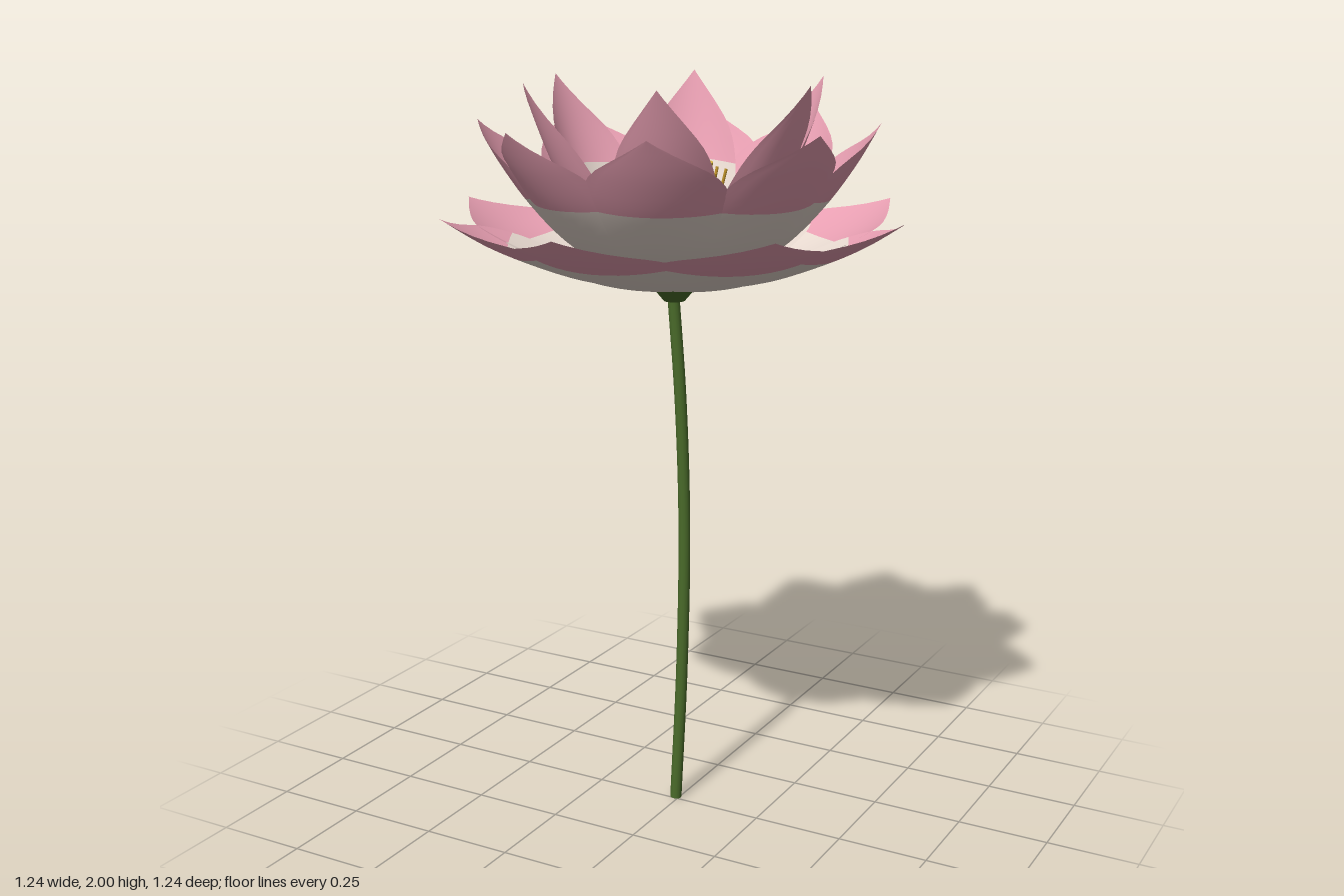
import * as THREE from 'three';

const mat = (name, color, side = THREE.FrontSide) => {
  const m = new THREE.MeshStandardMaterial({ color, side });
  m.name = name;
  return m;
};
const curve = pts => new THREE.SplineCurve(pts.map(p => new THREE.Vector2(...p)));

// Half width along every petal, from narrow base to pointed tip
const outline = curve([[0, 0.3], [0.2, 0.62], [0.4, 0.89], [0.6, 1], [0.8, 0.78], [1, 0]]);

// Cupped petal pointing along +x; material 0 is the pale base, 1 the pink tip
function petalGeometry({ profile, width, cup, split }) {
  const spine = curve(profile), rows = 24, cols = 12, splitRow = 15;
  const pos = [], index = [];
  for (let i = 0; i <= rows; i++) {
    for (let j = 0; j <= cols; j++) {
      const u = (j / cols) * 2 - 1;
      const edge = split - 0.05 * u * u; // the colour border bows towards the tip
      const t = i <= splitRow
        ? (i / splitRow) * edge
        : edge + ((i - splitRow) / (rows - splitRow)) * (1 - edge);
      const p = spine.getPoint(t), d = spine.getTangent(t);
      const w = Math.max(0, outline.getPoint(t).y);
      const lift = cup * u * u * w * w;
      pos.push(p.x - d.y * lift, p.y + d.x * lift, u * w * width);
    }
  }
  const n = cols + 1;
  for (let i = 0; i < rows; i++) {
    for (let j = 0; j < cols; j++) {
      const a = i * n + j, b = a + 1, c = a + n, e = c + 1;
      index.push(a, b, c, b, e, c);
    }
  }
  const g = new THREE.BufferGeometry();
  g.setAttribute('position', new THREE.Float32BufferAttribute(pos, 3));
  g.setIndex(index);
  g.computeVertexNormals();
  g.addGroup(0, splitRow * cols * 6, 0);
  g.addGroup(splitRow * cols * 6, (rows - splitRow) * cols * 6, 1);
  return g;
}

// Petal rings; angles in degrees from +x towards +z
const rings = [
  {
    name: 'outerPetal', width: 0.225, cup: 0.045, split: 0.68,
    profile: [[0.02, 1.47], [0.14, 1.478], [0.27, 1.503], [0.39, 1.545], [0.51, 1.6], [0.62, 1.67]],
    angles: [-3, 40, 89, 135, 175, 226, 266, 310],
  },
  {
    name: 'middlePetal', width: 0.185, cup: 0.06, split: 0.64,
    profile: [[0.03, 1.485], [0.16, 1.51], [0.28, 1.58], [0.38, 1.68], [0.46, 1.79], [0.52, 1.895]],
    angles: [-71, -24, 21, 69, 113, 158, 206, 250],
  },
  {
    name: 'innerPetal', width: 0.13, cup: 0.05, split: 0.68,
    profile: [[0.03, 1.5], [0.13, 1.54], [0.22, 1.62], [0.29, 1.72], [0.35, 1.85], [0.405, 2]],
    angles: [-48, 8.5, 68, 131, 188, 248],
  },
];

export function createModel() {
  const green = mat('stem green', 0x4a6b2a);
  const pale = mat('petal cream', 0xf3e4da, THREE.DoubleSide);
  const pink = mat('petal pink', 0xe89fb2, THREE.DoubleSide);
  const yellow = mat('seed pod yellow', 0xdcb845);
  const gold = mat('stamen gold', 0xc2952a);

  const model = new THREE.Group();
  model.name = 'waterFlower';
  const add = (parent, name, geometry, material) => {
    const m = new THREE.Mesh(geometry, material);
    m.name = name;
    parent.add(m);
    return m;
  };

  // Gently bowed stem with a closed foot
  const path = new THREE.CatmullRomCurve3([
    [-0.01, 0, -0.01], [0.005, 0.4, -0.018], [0.011, 0.8, -0.02], [0.004, 1.15, -0.012], [-0.015, 1.46, -0.004],
  ].map(p => new THREE.Vector3(...p)));
  add(model, 'stem', new THREE.TubeGeometry(path, 40, 0.016, 12), green);
  const foot = add(model, 'stemFoot', new THREE.CircleGeometry(0.016, 12), green);
  foot.rotation.x = Math.PI / 2;
  foot.position.set(-0.01, 0.001, -0.01);

  const flower = new THREE.Group();
  flower.name = 'flower';
  flower.position.set(-0.004, 0, -0.006);
  model.add(flower);

  // Green cup under the petals
  const cup = add(flower, 'calyx', new THREE.CylinderGeometry(0.066, 0.028, 0.045, 16), green);
  cup.position.set(-0.008, 1.452, 0);

  for (const ring of rings) {
    const geometry = petalGeometry(ring);
    for (const a of ring.angles) {
      add(flower, ring.name, geometry, [pale, pink]).rotation.y = -THREE.MathUtils.degToRad(a);
    }
  }

  // Seed pod and its fringe of stamens
  const heart = new THREE.Group();
  heart.name = 'heart';
  heart.position.set(-0.004, 0, -0.01);
  flower.add(heart);
  add(heart, 'seedPod', new THREE.CylinderGeometry(0.092, 0.05, 0.3, 32), yellow).position.y = 1.64;

  const up = new THREE.Vector3(0, 1, 0), count = 28;
  for (let i = 0; i < count; i++) {
    const a = (i / count) * Math.PI * 2, r = i % 2 ? 0.128 : 0.115, y = i % 2 ? 1.77 : 1.74;
    const from = new THREE.Vector3(Math.cos(a) * 0.06, 1.5, Math.sin(a) * 0.06);
    const to = new THREE.Vector3(Math.cos(a) * r, y, Math.sin(a) * r);
    const dir = to.clone().sub(from);
    const s = add(heart, 'stamen', new THREE.CylinderGeometry(0.004, 0.003, dir.length(), 6), gold);
    s.position.copy(from).add(to).multiplyScalar(0.5);
    s.quaternion.setFromUnitVectors(up, dir.normalize());
  }
  return model;
}
